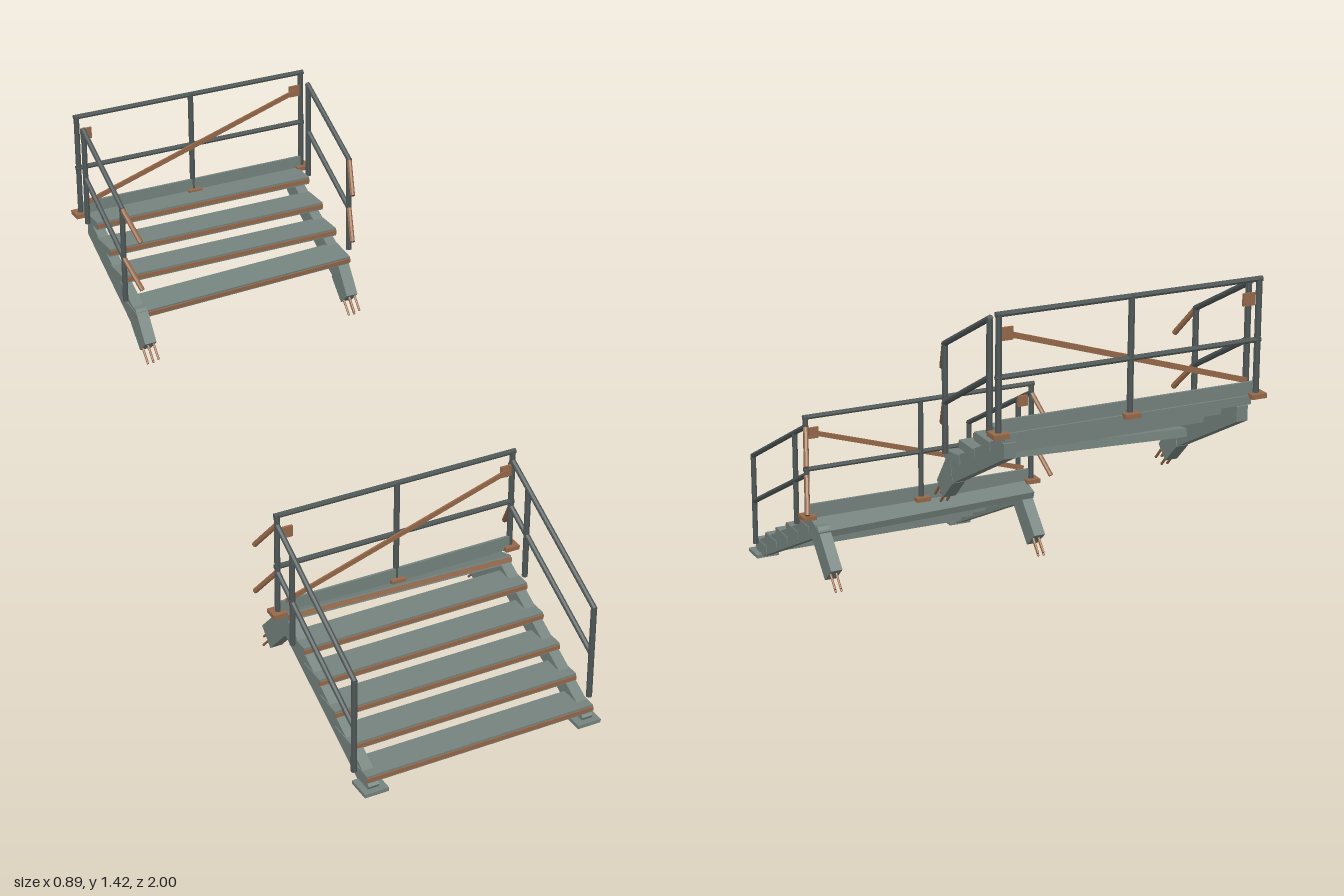
import * as THREE from 'three';

const mat = (name, color) => {
  const m = new THREE.MeshStandardMaterial({ color, flatShading: true });
  m.name = name;
  return m;
};

export function createModel() {
  const steel = mat('greySteel', 0x75837e);
  const railing = mat('darkRailing', 0x4e5756);
  const rust = mat('rust', 0x96694a);
  const model = new THREE.Group();
  model.name = 'brokenStairs';

  const add = (parent, name, geo, material, x = 0, y = 0, z = 0) => {
    const mesh = new THREE.Mesh(geo, material);
    mesh.name = name;
    mesh.position.set(x, y, z);
    parent.add(mesh);
    return mesh;
  };
  const box = (parent, name, size, pos, material) =>
    add(parent, name, new THREE.BoxGeometry(...size), material, ...pos);

  // Round tube between two points
  const bar = (parent, name, a, b, r, material) => {
    const p = new THREE.Vector3(...a), q = new THREE.Vector3(...b);
    const dir = q.clone().sub(p);
    const mesh = add(parent, name, new THREE.CylinderGeometry(r, r, dir.length(), 8), material);
    mesh.position.copy(p).add(q).multiplyScalar(0.5);
    mesh.quaternion.setFromUnitVectors(new THREE.Vector3(0, 1, 0), dir.normalize());
    return mesh;
  };

  // Side profile given as [z, y] points, extruded across x
  const profile = (parent, name, pts, x, width, material) => {
    const shape = new THREE.Shape(pts.map(([z, y]) => new THREE.Vector2(-z, y)));
    const geo = new THREE.ExtrudeGeometry(shape, { depth: width, bevelEnabled: false });
    geo.translate(0, 0, -width / 2).rotateY(Math.PI / 2);
    return add(parent, name, geo, material, x);
  };

  // Step with a rusty nosing; origin at its centre
  const tread = (parent, y, z, tiltX = 0, tiltZ = 0) => {
    const g = new THREE.Group();
    g.name = 'tread';
    box(g, 'treadBoard', [0.776, 0.026, 0.1], [0, 0, 0], steel);
    box(g, 'treadNosing', [0.776, 0.014, 0.006], [0, 0, 0.051], rust);
    g.position.set(0, y, z);
    g.rotation.set(tiltX, 0, tiltZ);
    parent.add(g);
  };

  // Railing across the top of a flight, with foot plates, toe board and brace
  const backRail = (parent, y, z) => {
    for (const x of [-0.405, 0, 0.405]) {
      bar(parent, 'backPost', [x, y, z], [x, y + 0.345, z], 0.0095, railing);
      box(parent, 'footPlate', [0.048, 0.014, 0.048], [x, y, z], rust);
    }
    for (const h of [0.163, 0.341])
      bar(parent, 'backRailBar', [-0.414, y + h, z], [0.414, y + h, z], 0.0085, railing);
    box(parent, 'toeBoard', [0.8, 0.048, 0.008], [0, y + 0.016, z + 0.004], steel);
    const brace = box(parent, 'diagonalBrace', [0.8, 0.016, 0.006], [0, y + 0.162, z + 0.012], rust);
    brace.rotation.z = Math.atan2(0.245, 0.776);
    for (const s of [-1, 1])
      box(parent, 'braceGusset', [0.037, 0.037, 0.008], [s * 0.377, y + 0.282, z + 0.008], rust);
  };

  // Both sides of a flight: stringer, snapped end with rods, sloping rails
  const sides = (parent, d) => {
    for (const s of [-1, 1]) {
      profile(parent, 'stringer', d.stringer, s * 0.367, 0.036, steel);
      profile(parent, 'snappedStringerEnd', d.knee, s * 0.366, 0.04, steel);
      const [[z0, y0], [z1, y1]] = d.rods;
      for (let i = 0; i < 4; i++) {
        const x = s * 0.366 + (i - 1.5) * 0.01;
        const o = (i % 2 ? 1 : -1) * 0.009;
        bar(parent, 'exposedRod', [x, y0 + o, z0 + o * d.lean], [x, y1 + o, z1 + o * d.lean], 0.004, rust);
      }
      const x = s * 0.405;
      for (const [z, bottom, top] of d.posts)
        bar(parent, 'sidePost', [x, bottom, z], [x, top, z], 0.0095, railing);
      for (const [[za, ya], [zb, yb]] of d.rails)
        bar(parent, 'sideRail', [x, ya, za], [x, yb, zb], 0.009, railing);
      for (const [[za, ya], [zb, yb]] of d.bent)
        bar(parent, 'bentRailEnd', [x, ya, za], [s * d.bentX, yb, zb], 0.0085, rust);
    }
  };

  // Lower flight
  const lower = new THREE.Group();
  lower.name = 'lowerFlight';
  model.add(lower);
  for (let i = 0; i < 5; i++) tread(lower, 0.066 + i * 0.0525, 0.928 - i * 0.099);
  tread(lower, 0.315, 0.435, -0.32, -0.026);
  sides(lower, {
    stringer: [[0.965, 0.005], [0.985, 0.045], [0.955, 0.075], [0.47, 0.322], [0.42, 0.3], [0.45, 0.26]],
    knee: [[0.46, 0.318], [0.405, 0.315], [0.295, 0.2], [0.35, 0.15], [0.452, 0.257]],
    rods: [[0.335, 0.19], [0.285, 0.135]], lean: -1,
    posts: [[0.93, 0.075, 0.395], [0.54, 0.285, 0.6]],
    rails: [[[0.935, 0.393], [0.443, 0.652]], [[0.93, 0.23], [0.443, 0.487]]],
    bent: [[[0.443, 0.652], [0.358, 0.545]], [[0.443, 0.487], [0.358, 0.38]]],
    bentX: 0.438,
  });
  backRail(lower, 0.342, 0.443);
  for (const s of [-1, 1])
    box(lower, 'groundPlate', [0.08, 0.012, 0.08], [s * 0.365, 0.028, 0.96], steel);

  // Upper flight
  const upper = new THREE.Group();
  upper.name = 'upperFlight';
  model.add(upper);
  for (let i = 0; i < 3; i++) tread(upper, 0.951 + i * 0.0545, -0.737 - i * 0.0975);
  tread(upper, 0.882, -0.64, 0.12, 0.036);
  sides(upper, {
    stringer: [[-0.635, 0.815], [-0.6, 0.85], [-0.61, 0.88], [-0.94, 1.048], [-0.97, 1.04], [-0.97, 0.995]],
    knee: [[-0.638, 0.815], [-0.62, 0.885], [-0.598, 0.885], [-0.53, 0.79], [-0.572, 0.75]],
    rods: [[-0.565, 0.785], [-0.515, 0.73]], lean: 1,
    posts: [[-0.63, 0.908, 1.235], [-0.92, 1.06, 1.388]],
    rails: [[[-0.625, 1.232], [-0.925, 1.39]], [[-0.63, 1.06], [-0.92, 1.22]]],
    bent: [[[-0.628, 1.232], [-0.553, 1.14]], [[-0.628, 1.06], [-0.553, 0.973]]],
    bentX: 0.378,
  });
  backRail(upper, 1.072, -0.976);

  return model;
}
